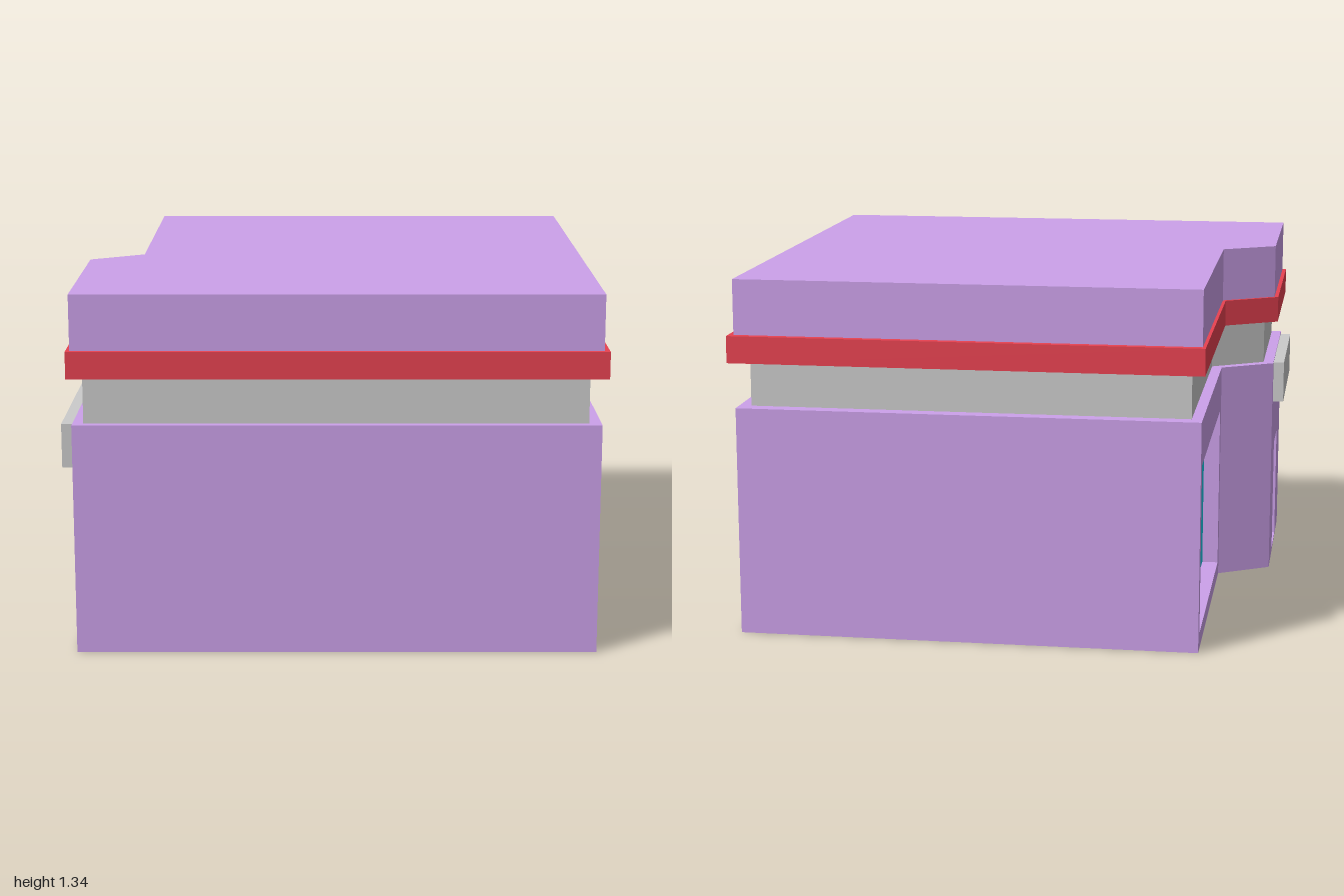
import * as THREE from 'three';

const mat = (color) => new THREE.MeshStandardMaterial({ color, side: THREE.DoubleSide, flatShading: true });

export function createModel() {
  const model = new THREE.Group();
  const purple = mat(0xcca1ea), red = mat(0xe84251), grey = mat(0xcccccc), teal = mat(0x1bcbe8);

  const add = (name, geometry, material) => {
    const mesh = new THREE.Mesh(geometry, material);
    mesh.name = name;
    model.add(mesh);
    return mesh;
  };

  // Quads joining two closed rings with matching corners; edges in skip stay open
  const strip = (a, b, skip = []) => {
    const pos = [];
    a.forEach((p, i) => {
      if (skip.includes(i)) return;
      const j = (i + 1) % a.length;
      for (const v of [p, a[j], b[j], p, b[j], b[i]]) pos.push(...v);
    });
    const g = new THREE.BufferGeometry();
    g.setAttribute('position', new THREE.Float32BufferAttribute(pos, 3));
    g.computeVertexNormals();
    return g;
  };

  // Plan outline: front edge, +x side, back edge, notch wall, slanted wall, entrance wall
  const plan = (x0, x1, z0, z1, notchX, notchZ, slantZ) =>
    [[x0, z1], [x1, z1], [x1, z0], [notchX, z0], [notchX, notchZ], [x0, slantZ]];
  const wall = plan(-0.945, 0.965, -0.97, 0.985, -0.745, 0.09, 0.215);
  const neck = plan(-0.905, 0.92, -0.915, 0.955, -0.705, 0.11, 0.24);
  const trim = plan(-0.96, 0.985, -1, 1, -0.757, 0.08, 0.208);
  const at = (outline, y) => outline.map(([x, z]) => [x, y, z]);

  // Stacked shell, open at the bottom
  const yWall = 0.857, yTrim = 1.03, yUpper = 1.13, yRoof = 1.335;
  add('lowerWalls', strip(at(wall, 0), at(wall, yWall), [3, 5]), purple);
  add('wallLedge', strip(at(wall, yWall), at(neck, yWall)), purple);
  add('neckBand', strip(at(neck, yWall), at(neck, yTrim)), grey);
  add('trimUnderside', strip(at(neck, yTrim), at(trim, yTrim)), red);
  add('trimBand', strip(at(trim, yTrim), at(trim, yUpper)), red);
  add('trimTop', strip(at(trim, yUpper), at(wall, yUpper)), red);
  add('parapet', strip(at(wall, yUpper), at(wall, yRoof)), purple);
  const roof = new THREE.ShapeGeometry(new THREE.Shape(wall.map(([x, z]) => new THREE.Vector2(x, -z))));
  add('roof', roof.rotateX(-Math.PI / 2).translate(0, yRoof, 0), purple);

  // Rectangles on the -x side, as [z0, z1, y0, y1]
  const corners = ([z0, z1, y0, y1]) => [[z0, y0], [z1, y0], [z1, y1], [z0, y1]];
  const panel = (rect, x, holes = []) => {
    const points = (r) => corners(r).map(([z, y]) => new THREE.Vector2(z, y));
    const shape = new THREE.Shape(points(rect));
    holes.forEach((h) => shape.holes.push(new THREE.Path(points(h).reverse())));
    return new THREE.ShapeGeometry(shape).rotateY(-Math.PI / 2).translate(x, 0, 0);
  };
  // Recess or projection from the wall plane, closed by a face at its end
  const pocket = (name, rect, x, endX, sideMaterial, faceMaterial) => {
    const ring = (px) => corners(rect).map(([z, y]) => [px, y, z]);
    add(name + 'Sides', strip(ring(x), ring(endX)), sideMaterial);
    add(name + 'Face', panel(rect, endX), faceMaterial);
  };

  // Notch wall with the large window
  const windowRect = [-0.918, 0.04, 0.06, 0.69];
  add('windowWall', panel([-0.97, 0.09, 0, yWall], -0.745, [windowRect]), purple);
  pocket('window', windowRect, -0.745, -0.683, purple, teal);

  // Entrance wall with the door and the sign box
  const doorRect = [0.475, 0.735, 0.01, 0.47];
  const signRect = [0.26, 0.94, 0.69, 0.852];
  add('entranceWall', panel([0.215, 0.985, 0, yWall], -0.945, [doorRect, signRect]), purple);
  pocket('door', doorRect, -0.945, -0.89, purple, grey);
  pocket('signBox', signRect, -0.945, -0.987, grey, grey);

  return model;
}
